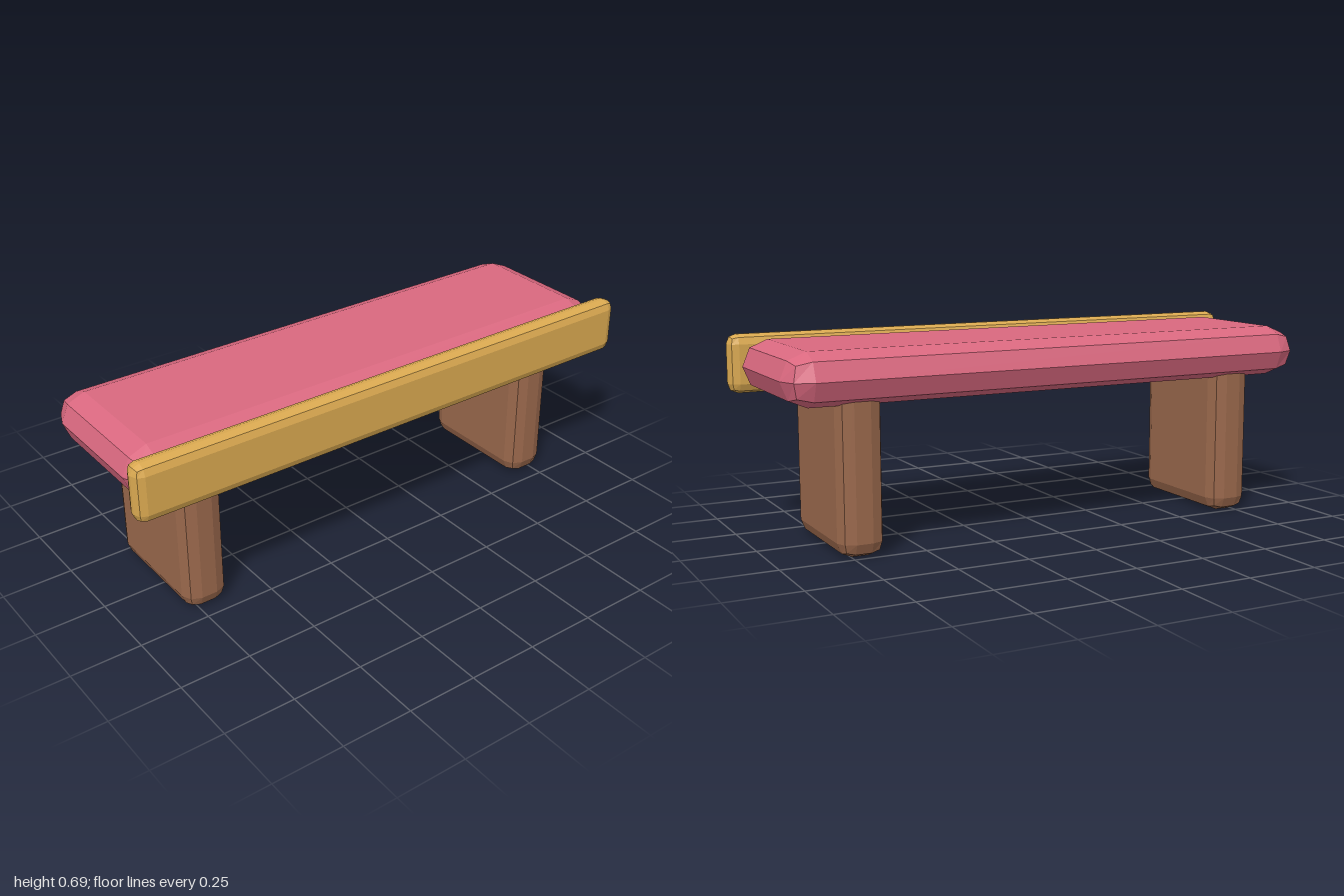
import * as THREE from 'three';
import { RoundedBoxGeometry } from 'three/addons/geometries/RoundedBoxGeometry.js';

const paint = (name, color) => {
  const material = new THREE.MeshStandardMaterial({ color, flatShading: true });
  material.name = name;
  return material;
};

// Faceted rounded block filling the space between two corners
function block(name, min, max, radius, material) {
  const [w, h, d] = max.map((v, i) => v - min[i]);
  const mesh = new THREE.Mesh(new RoundedBoxGeometry(w, h, d, 1, radius), material);
  mesh.position.set(...max.map((v, i) => (v + min[i]) / 2));
  mesh.name = name;
  return mesh;
}

export function createModel() {
  const bench = new THREE.Group();
  bench.name = 'bench';
  const pink = paint('pink cushion', 0xd9687f);
  const gold = paint('golden trim', 0xd9a850);
  const brown = paint('brown wood', 0x9a684c);

  // Padded seat, its edges fully rounded
  bench.add(block('seat', [-0.975, 0.5, -0.317], [0.975, 0.678, 0.27], 0.089, pink));

  // Long rail along the front of the seat
  bench.add(block('frontRail', [-1, 0.488, 0.239], [1, 0.69, 0.319], 0.033, gold));

  // Slab legs, tops sunk into the seat
  for (const [name, x] of [['leftLeg', 0.717], ['rightLeg', -0.717]]) {
    bench.add(block(name, [x - 0.078, 0, -0.26], [x + 0.078, 0.6, 0.211], 0.05, brown));
  }
  return bench;
}
